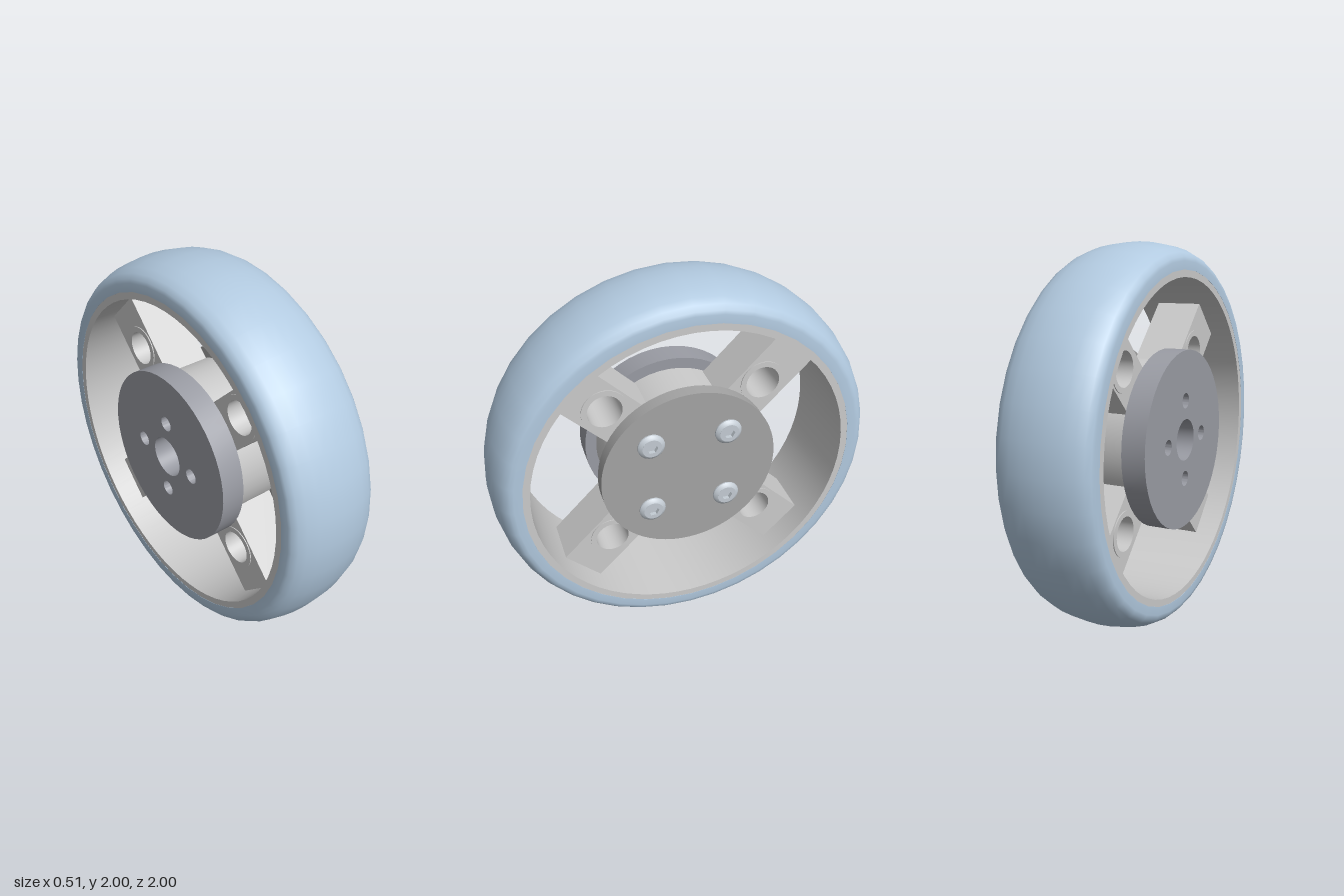
import * as THREE from 'three';
import { toCreasedNormals } from 'three/addons/utils/BufferGeometryUtils.js';

const mat = (color) => new THREE.MeshStandardMaterial({ color });
const tyreMat = mat(0xb2cae0);
const greyMat = mat(0xcccccc);
const coverMat = mat(0xa4a4a4);
const flangeMat = mat(0x9a9ca4);
const boltMat = mat(0xc4ccd4);

// Everything is built with the axle along z, then turned onto x at the end.
function mesh(name, geometry, material) {
  const m = new THREE.Mesh(geometry, material);
  m.name = name;
  return m;
}

// Closed profile of [radius, axial] points spun around the z axis
function spin(points, segments) {
  const pts = [...points, points[0]].map(([r, a]) => new THREE.Vector2(r, a));
  const g = new THREE.LatheGeometry(pts, segments).rotateX(Math.PI / 2);
  return toCreasedNormals(g, 0.6);
}

const tube = (rOut, rIn, z0, z1, segments = 48) =>
  spin([[rIn, z0], [rOut, z0], [rOut, z1], [rIn, z1]], segments);

const cylinder = (r, z0, z1, segments = 48) =>
  new THREE.CylinderGeometry(r, r, z1 - z0, segments)
    .rotateX(Math.PI / 2).translate(0, 0, (z0 + z1) / 2);

function circlePath(x, y, r) {
  return new THREE.Path().absarc(x, y, r, 0, Math.PI * 2, true);
}

function extrude(shape, z0, z1) {
  const g = new THREE.ExtrudeGeometry(shape, { depth: z1 - z0, bevelEnabled: false, curveSegments: 24 });
  return toCreasedNormals(g.translate(0, 0, z0), 0.6);
}

// Spoke lying along +x, with its round opening
function spokeGeometry() {
  const s = new THREE.Shape();
  s.moveTo(0.3, -0.128);
  s.lineTo(0.815, -0.128);
  s.lineTo(0.815, 0.128);
  s.lineTo(0.3, 0.128);
  s.closePath();
  s.holes.push(circlePath(0.575, 0, 0.112));
  return extrude(s, -0.125, 0.125);
}

// Button head bolt with a hexagonal socket
function bolt() {
  const g = new THREE.Group();
  g.name = 'bolt';
  const top = new THREE.Shape().absarc(0, 0, 0.05, 0, Math.PI * 2, false);
  const hex = new THREE.Path();
  for (let i = 0; i < 6; i++) {
    const a = -i * Math.PI / 3;
    hex[i ? 'lineTo' : 'moveTo'](0.03 * Math.cos(a), 0.03 * Math.sin(a));
  }
  hex.closePath();
  top.holes.push(hex);
  g.add(mesh('boltHead', extrude(top, 0, 0.024), boltMat));
  g.add(mesh('boltRim', spin([[0.048, 0], [0.07, 0], [0.07, 0.008], [0.062, 0.018], [0.048, 0.024]], 32), boltMat));
  g.add(mesh('socketFloor', cylinder(0.04, -0.01, 0.004, 24), boltMat));
  return g;
}

export function createModel() {
  const model = new THREE.Group();
  model.name = 'wheel';
  const wheel = new THREE.Group();
  wheel.name = 'wheelAssembly';
  wheel.rotation.y = Math.PI / 2;
  wheel.position.set(0.005, 1, 0);
  model.add(wheel);

  // Tyre: crowned tread with rounded shoulders
  const half = [[0.862, 0.25], [0.905, 0.25], [0.925, 0.246], [0.948, 0.225], [0.968, 0.19], [0.985, 0.135], [0.996, 0.07]];
  const lower = half.map(([r, z]) => [r, -z]);
  const tyre = [...lower, [1, 0], ...half.slice().reverse()];
  wheel.add(mesh('tyre', spin(tyre, 40), tyreMat));

  // Rim
  wheel.add(mesh('rim', tube(0.866, 0.825, -0.249, 0.249, 64), greyMat));

  // Hub core
  wheel.add(mesh('hub', cylinder(0.405, -0.14, 0.135), greyMat));

  // Spokes with bored bosses
  const spokeGeo = spokeGeometry();
  const bossGeo = tube(0.117, 0.088, -0.13, 0.13, 32).translate(0.575, 0, 0);
  for (let i = 0; i < 4; i++) {
    const spoke = new THREE.Group();
    spoke.name = 'spoke';
    spoke.rotation.z = Math.PI / 4 + i * Math.PI / 2;
    spoke.add(mesh('spokeArm', spokeGeo, greyMat), mesh('spokeBoss', bossGeo, greyMat));
    wheel.add(spoke);
  }

  // Bolted cover plate on the +x side
  wheel.add(mesh('coverPlate', cylinder(0.464, 0.13, 0.2, 64), coverMat));
  for (const x of [-0.202, 0.202]) for (const y of [-0.202, 0.202]) {
    const b = bolt();
    b.position.set(x, y, 0.199);
    wheel.add(b);
  }

  // Mounting flange on the -x side, with centre bore and four holes
  const flange = new THREE.Shape().absarc(0, 0, 0.464, 0, Math.PI * 2, false);
  flange.holes.push(circlePath(0, 0, 0.108));
  for (let i = 0; i < 4; i++) {
    const a = i * Math.PI / 2;
    flange.holes.push(circlePath(0.205 * Math.cos(a), 0.205 * Math.sin(a), 0.04));
  }
  wheel.add(mesh('mountingFlange', extrude(flange, -0.265, -0.14), flangeMat));

  return model;
}
